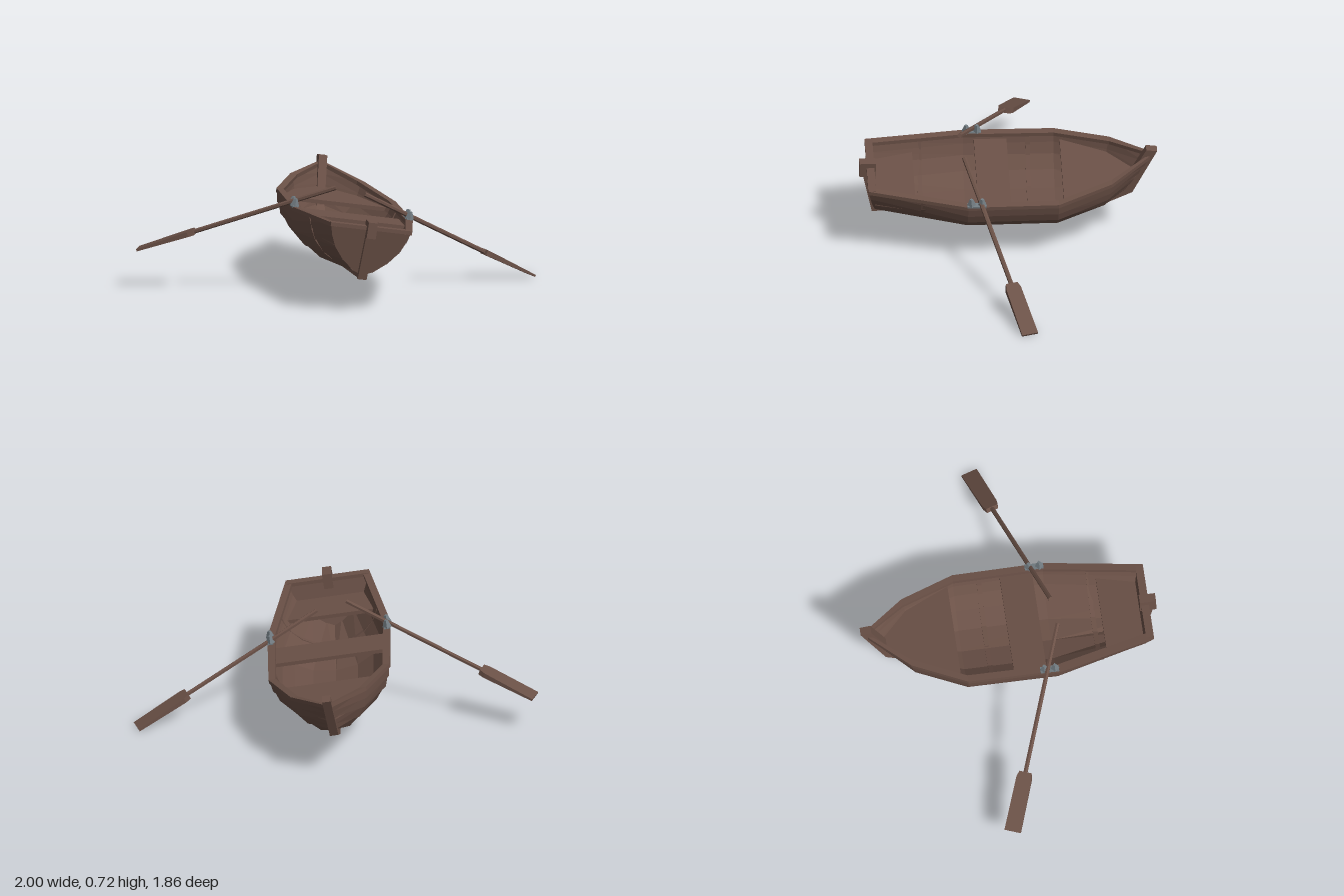
import * as THREE from 'three';

const wood = new THREE.MeshStandardMaterial({ color: 0x6b5147, flatShading: true, side: THREE.DoubleSide });
wood.name = 'brown wood';
const metal = new THREE.MeshStandardMaterial({ color: 0x737d83, flatShading: true });
metal.name = 'grey metal';

// Hull stations, stern to bow: sheer [u, half width, height], keel [u, height]; u runs towards the bow (-z).
// A higher vee makes the section narrower low down; lap is the step between strakes.
const stations = [
  { sheer: [-0.965, 0.265, 0.378], keel: [-0.9, 0.055], vee: 1.7, lap: 0.002 },
  { sheer: [-0.33, 0.393, 0.33], keel: [-0.33, 0.015], vee: 1.05, lap: 0.008 },
  { sheer: [0.252, 0.388, 0.33], keel: [0.25, 0.015], vee: 1.05, lap: 0.008 },
  { sheer: [0.6, 0.239, 0.37], keel: [0.54, 0.07], vee: 1.2, lap: 0.01 },
  { sheer: [0.855, 0.02, 0.42], keel: [0.7, 0.15], vee: 1, lap: 0.008 },
];
// Half cross-section as fractions of width and height, one step per strake
const profile = [[0.03, 0], [0.42, 0.07], [0.7, 0.28], [0.87, 0.53], [0.95, 0.76], [1, 1]];
const RAKE = (0.965 - 0.9) / (0.378 - 0.055);
const SKIN = 0.014;
const lerp = THREE.MathUtils.lerp;

function along(list, x, from, to) {
  for (let i = 1; i < list.length; i++) {
    const a = list[i - 1], b = list[i];
    if (x <= b[from] || i === list.length - 1) {
      return lerp(a[to], b[to], (x - a[from]) / (b[from] - a[from]));
    }
  }
}

function hullPoint(st, [p, q]) {
  return [st.sheer[1] * p ** st.vee, lerp(st.keel[1], st.sheer[2], q), -lerp(st.keel[0], st.sheer[0], q)];
}

function add(parent, name, geometry, material = wood) {
  const mesh = new THREE.Mesh(geometry, material);
  mesh.name = name;
  parent.add(mesh);
}

// Skin over a row of cross-sections
function loft(rings, closed) {
  const n = rings[0].length, index = [];
  for (let i = 0; i < rings.length - 1; i++) {
    for (let j = 0; j < (closed ? n : n - 1); j++) {
      const a = i * n + j, b = i * n + (j + 1) % n;
      index.push(a, a + n, b, b, a + n, b + n);
    }
  }
  const g = new THREE.BufferGeometry();
  g.setAttribute('position', new THREE.Float32BufferAttribute(rings.flat(2), 3));
  g.setIndex(index);
  const flat = g.toNonIndexed();
  flat.computeVertexNormals();
  return flat;
}

function extrude(points, depth) {
  const shape = new THREE.Shape(points.map(([x, y]) => new THREE.Vector2(x, y)));
  return new THREE.ExtrudeGeometry(shape, { depth, bevelEnabled: false });
}

function reshape(geometry, rule) {
  const pos = geometry.attributes.position, v = new THREE.Vector3();
  for (let i = 0; i < pos.count; i++) {
    rule(v.fromBufferAttribute(pos, i));
    pos.setXYZ(i, v.x, v.y, v.z);
  }
  geometry.computeVertexNormals();
  return geometry;
}

// Level board fitted to the hull between two lengthwise positions
function board(parent, name, h, u0, u1, thick) {
  const edge = stations.map(s => {
    const q = (h - s.keel[1]) / (s.sheer[2] - s.keel[1]);
    return [lerp(s.keel[0], s.sheer[0], q), s.sheer[1] * along(profile, q, 1, 0) ** s.vee - 0.006];
  });
  const us = [u0, ...edge.map(e => e[0]).filter(u => u > u0 && u < u1), u1];
  const half = us.map(u => [along(edge, u, 0, 1), u]);
  const g = extrude([...half, ...half.map(([w, u]) => [-w, u]).reverse()], thick);
  g.rotateX(-Math.PI / 2).translate(0, h - thick, 0);
  add(parent, name, g);
}

// Curved frame inside the hull
function rib(parent, u) {
  const rows = stations.map(s => [s.sheer[0], s.sheer[1], s.sheer[2], s.keel[1], s.vee]);
  const [w, hs, hk, vee] = [1, 2, 3, 4].map(k => along(rows, u, 0, k));
  const side = (scale, lift) => profile.map(([p, q]) => [w * p ** vee * scale, lerp(hk + lift, hs - 0.02, q)]);
  for (const m of [1, -1]) {
    const pts = [...side(0.99, 0.005), ...side(0.93, 0.03).reverse()].map(([x, y]) => [x * m, y]);
    add(parent, 'rib', extrude(pts, 0.03).translate(0, 0, -u));
  }
}

function oar(parent, name, handle, tip) {
  const start = new THREE.Vector3(...handle), d = new THREE.Vector3(...tip).sub(start);
  const length = d.length(), bladeLength = 0.39, shaft = length - bladeLength + 0.02;
  d.normalize();
  const across = new THREE.Vector3(0, 1, 0).cross(d).normalize();
  const group = new THREE.Group();
  group.name = name;
  group.quaternion.setFromRotationMatrix(new THREE.Matrix4().makeBasis(across, d.clone().cross(across), d));
  group.position.copy(start);
  add(group, 'oarShaft', new THREE.CylinderGeometry(0.015, 0.015, shaft, 6).rotateX(Math.PI / 2).translate(0, 0, shaft / 2));
  // Blade with a short shoulder, thinning towards the tip
  const blade = reshape(new THREE.BoxGeometry(1, 1, 1, 1, 1, 10), v => {
    const t = v.z + 0.5;
    v.x *= t < 0.05 ? 0.078 : lerp(0.1, 0.108, t);
    v.y *= lerp(0.036, 0.014, t);
    v.z = length - bladeLength * (1 - t);
  });
  add(group, 'oarBlade', blade);
  parent.add(group);
}

export function createModel() {
  const model = new THREE.Group();
  model.name = 'rowingBoat';
  const boat = new THREE.Group();
  boat.name = 'boat';
  boat.position.set(-0.031, 0.2, -0.025);
  boat.rotation.set(0, -0.69, -0.153, 'YXZ');
  model.add(boat);

  for (const m of [1, -1]) {
    // Overlapping strakes: each lower edge steps out over the one below
    add(boat, 'hullPlanks', loft(stations.map(s => profile.flatMap((pq, k) => {
      const [x, y, z] = hullPoint(s, pq);
      const edge = [[x * m, y, z]];
      if (k > 0 && k < profile.length - 1) edge.push([(x + s.lap) * m, y - s.lap * 0.7, z]);
      return edge;
    })), false));
    // Smooth lining inside
    add(boat, 'hullLining', loft(stations.map(s => profile.map(([p, q], k) => {
      const [x, y, z] = hullPoint(s, [p, q]);
      return [k ? Math.max(x - SKIN, 0) * m : 0, y + SKIN * (1 - q), z];
    })), false));
    // Gunwale
    add(boat, 'rail', loft(stations.map(({ sheer: [u, w, h] }) => {
      const inner = Math.max(w - 0.042, 0), outer = w + 0.005;
      return [[outer, h - 0.018], [outer, h + 0.008], [inner, h + 0.008], [inner, h - 0.018]]
        .map(([x, y]) => [x * m, y, -u]);
    }), true));
    // Oarlocks
    const lock = new THREE.Group();
    lock.name = 'oarlock';
    lock.position.set(m * 0.378, 0.338, 0.275);
    add(lock, 'oarlockBase', new THREE.BoxGeometry(0.04, 0.014, 0.12), metal);
    for (const e of [1, -1]) {
      add(lock, 'oarlockHorn', new THREE.CylinderGeometry(0.012, 0.03, 0.05, 4).translate(0, 0.027, e * 0.034), metal);
    }
    boat.add(lock);
  }

  // Transom, raked aft
  const outline = profile.map(pq => hullPoint(stations[0], pq));
  const transom = extrude([...outline, ...outline.map(([x, y]) => [-x, y]).reverse()], 0.035);
  add(boat, 'transom', reshape(transom, v => { v.z += 0.866 + (v.y - 0.055) * RAKE; }));
  add(boat, 'transomCap', new THREE.BoxGeometry(0.53, 0.024, 0.05).translate(0, 0.374, 0.941));
  const post = new THREE.BoxGeometry(0.058, 0.32, 0.035).translate(0, 0.19, 0.918);
  add(boat, 'sternPost', reshape(post, v => { v.z += (v.y - 0.055) * RAKE; }));
  add(boat, 'sternBlock', new THREE.BoxGeometry(0.06, 0.105, 0.105).translate(0, 0.368, 0.96));

  // Keel and stem in one curved timber
  const keel = extrude([
    [-0.93, 0.038], [-0.33, -0.004], [0.25, -0.004], [0.56, 0.045], [0.74, 0.135], [0.897, 0.467],
    [0.828, 0.477], [0.68, 0.18], [0.53, 0.08], [0.24, 0.025], [-0.33, 0.025], [-0.9, 0.065],
  ], 0.055);
  add(boat, 'keelAndStem', keel.translate(0, 0, -0.0275).rotateY(Math.PI / 2));

  // Seats and frames
  board(boat, 'sternSeat', 0.26, -0.92, -0.66, 0.025);
  board(boat, 'middleSeat', 0.285, -0.26, -0.05, 0.025);
  board(boat, 'bowSeat', 0.285, 0.29, 0.77, 0.025);
  for (const u of [-0.6, 0.1]) rib(boat, u);

  oar(model, 'leftOar', [-0.15, 0.66, 0.32], [0.975, 0.012, 0.772]);
  oar(model, 'rightOar', [-0.31, 0.715, 0.215], [-0.95, 0.265, -0.905]);
  return model;
}
